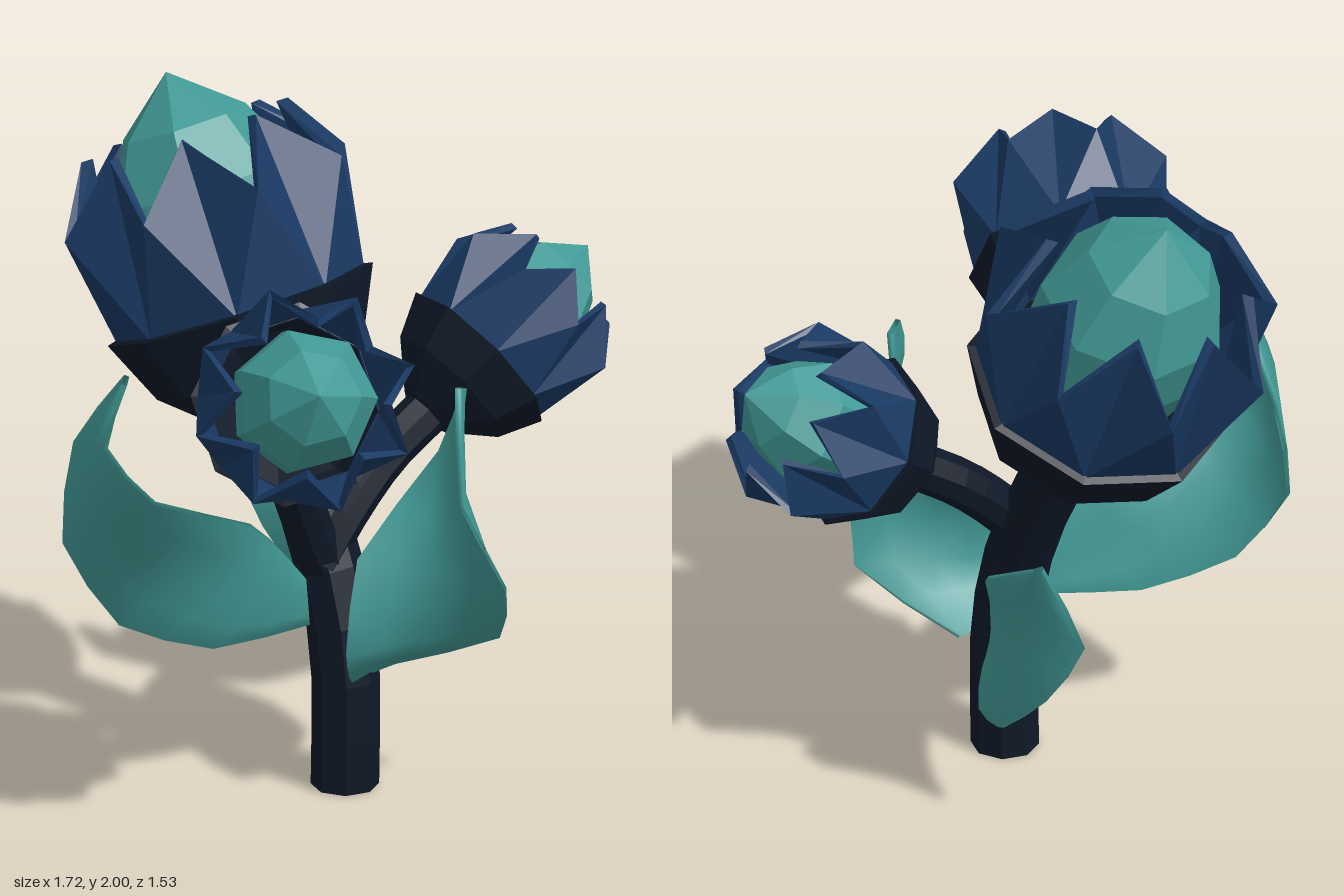
import * as THREE from 'three';

const V = (p) => new THREE.Vector3(...p);
const mat = (color, flatShading = true) =>
  new THREE.MeshStandardMaterial({ color, flatShading, side: THREE.DoubleSide });
const dark = mat(0x0e1827);
const blue = mat(0x1a3a64);
const teal = mat(0x429a96);
const leafTeal = mat(0x429a96, false);

function mesh(name, geometry, material) {
  const m = new THREE.Mesh(geometry, material);
  m.name = name;
  return m;
}

// Eight-sided stalk along a smooth path
function stalk(name, points, radius) {
  const curve = new THREE.CatmullRomCurve3(points.map(V));
  return mesh(name, new THREE.TubeGeometry(curve, 7, radius, 8), dark);
}

function lathe(name, profile, sides, material) {
  const pts = profile.map(([r, y]) => new THREE.Vector2(r, y));
  return mesh(name, new THREE.LatheGeometry(pts, sides), material);
}

// Crown of eight pointed petals: outer skin, inner skin and the zigzag rim
function petalCrown() {
  const n = 8, step = Math.PI * 2 / n, thick = 0.035, pos = [];
  const at = (k, r, y) => [r * Math.sin(k * step), y, r * Math.cos(k * step)];
  const tri = (...pts) => pts.forEach((p) => pos.push(...p));
  for (let i = 0; i < n; i++) {
    const skin = (t) => ({
      base: at(i, 0.37 - t, 0.35), next: at(i + 1, 0.37 - t, 0.35), tip: at(i, 0.31 - t, 0.88),
      left: at(i - 0.5, 0.45 - t, 0.69), right: at(i + 0.5, 0.45 - t, 0.69),
    });
    const o = skin(0), q = skin(thick);
    tri(o.base, o.tip, o.left, o.base, o.right, o.tip, o.base, o.next, o.right);
    tri(q.base, q.left, q.tip, q.base, q.tip, q.right, q.base, q.right, q.next);
    tri(o.left, o.tip, q.tip, o.left, q.tip, q.left);
    tri(o.tip, o.right, q.right, o.tip, q.right, q.tip);
  }
  const g = new THREE.BufferGeometry();
  g.setAttribute('position', new THREE.Float32BufferAttribute(pos, 3));
  g.computeVertexNormals();
  return mesh('petals', g, blue);
}

// Flower head growing from a base point along a direction
function flower(name, base, direction, scale) {
  const g = new THREE.Group();
  g.name = name;
  g.add(
    lathe('cup', [[0, 0], [0.13, 0.01], [0.31, 0.165], [0.398, 0.355], [0.34, 0.37]], 8, dark),
    petalCrown(),
    lathe('bud', [[0.2, 0.32], [0.28, 0.55], [0.28, 0.72], [0.19, 0.9], [0, 1.055]], 7, teal),
  );
  g.position.copy(V(base));
  g.quaternion.setFromUnitVectors(new THREE.Vector3(0, 1, 0), V(direction).normalize());
  g.scale.setScalar(scale);
  return g;
}

// Twisted leaf: a thin sheet spanned between two edge curves
function leaf(name, outer, inner, bulge) {
  const edge = (pts) => new THREE.CatmullRomCurve3(pts.map(V), false, 'catmullrom', 0.25);
  const a = edge(outer), b = edge(inner);
  const rows = 2 * (outer.length - 1), cols = 4, half = 0.008, pos = [], idx = [];
  const grid = [];
  for (let i = 0; i <= rows; i++) {
    const t = i / rows, p = a.getPoint(t), q = b.getPoint(t);
    const along = a.getTangent(t).add(b.getTangent(t));
    const normal = q.clone().sub(p).cross(along).normalize();
    for (let j = 0; j <= cols; j++) {
      const s = j / cols;
      const point = p.clone().lerp(q, s)
        .addScaledVector(normal, bulge * Math.sin(Math.PI * s) * Math.sin(Math.PI * t));
      grid.push({ point, normal });
    }
  }
  for (const side of [half, -half]) {
    for (const { point, normal } of grid) {
      pos.push(...point.clone().addScaledVector(normal, side).toArray());
    }
  }
  const w = cols + 1, m = grid.length;
  const quad = (c, d, e, f) => idx.push(c, d, e, c, e, f);
  for (let i = 0; i < rows; i++) {
    const r = i * w, r2 = r + w;
    for (let j = 0; j < cols; j++) {
      quad(r + j, r + j + 1, r2 + j + 1, r2 + j);
      quad(m + r + j, m + r2 + j, m + r2 + j + 1, m + r + j + 1);
    }
    quad(r, r2, m + r2, m + r);
    quad(r + cols, m + r + cols, m + r2 + cols, r2 + cols);
  }
  const g = new THREE.BufferGeometry();
  g.setAttribute('position', new THREE.Float32BufferAttribute(pos, 3));
  g.setIndex(idx);
  g.computeVertexNormals();
  return mesh(name, g, leafTeal);
}

export function createModel() {
  const model = new THREE.Group();
  model.name = 'flowerPlant';

  // Stem and its two branches
  model.add(
    stalk('mainStem', [[-0.04, 0, 0.16], [-0.04, 0.38, 0.16], [-0.04, 0.62, 0.11],
      [-0.04, 0.82, 0.03], [-0.04, 1.09, -0.12]], 0.098),
    stalk('rightBranch', [[-0.1, 0.68, 0.1], [0.02, 0.82, 0.11], [0.16, 0.95, 0.125],
      [0.32, 1.06, 0.16]], 0.07),
    stalk('leftBranch', [[-0.04, 0.62, 0.1], [-0.13, 0.8, 0.105], [-0.23, 1.03, 0.12],
      [-0.32, 1.26, 0.165]], 0.07),
  );
  const foot = mesh('stemFoot', new THREE.CircleGeometry(0.098, 8), dark);
  foot.rotation.x = Math.PI / 2;
  foot.position.set(-0.04, 0, 0.16);
  model.add(foot);

  // Three flower heads
  model.add(
    flower('mainFlower', [-0.045, 1.045, -0.1], [0, 0.907, -0.42], 1),
    flower('rightFlower', [0.29, 1.045, 0.155], [0.81, 0.57, 0.18], 0.65),
    flower('leftFlower', [-0.3, 1.235, 0.145], [-0.54, 0.43, 0.73], 0.74),
  );

  // Three twisted leaves
  model.add(
    leaf('frontLeaf',
      [[0.07, 0.36, 0.23], [0.19, 0.5, 0.55], [0.06, 0.73, 0.7], [-0.1, 1.03, 0.68], [0.07, 1.29, 0.5]],
      [[-0.1, 0.36, 0.24], [-0.2, 0.49, 0.32], [-0.12, 0.76, 0.29], [0.2, 1.0, 0.31], [0.12, 1.27, 0.48]],
      0.04),
    leaf('backLeaf',
      [[0.05, 0.29, 0.13], [0.17, 0.25, 0.02], [0.25, 0.3, -0.16], [0.245, 0.46, -0.34], [0.19, 0.66, -0.45], [0.3, 0.95, -0.4]],
      [[0.02, 0.36, 0.12], [0.06, 0.45, 0.05], [0.11, 0.56, 0], [0.2, 0.7, -0.06], [0.32, 0.83, -0.18], [0.32, 0.94, -0.38]],
      -0.04),
    leaf('sideLeaf',
      [[-0.1, 0.5, 0.1], [-0.38, 0.465, -0.04], [-0.6, 0.56, -0.2], [-0.68, 0.8, -0.34], [-0.64, 1.1, -0.33], [-0.67, 1.38, -0.1]],
      [[-0.1, 0.6, 0.1], [-0.2, 0.73, 0.08], [-0.33, 0.86, 0.065], [-0.73, 1.05, 0.065], [-0.79, 1.2, -0.07], [-0.69, 1.36, -0.09]],
      0.03),
  );
  return model;
}
